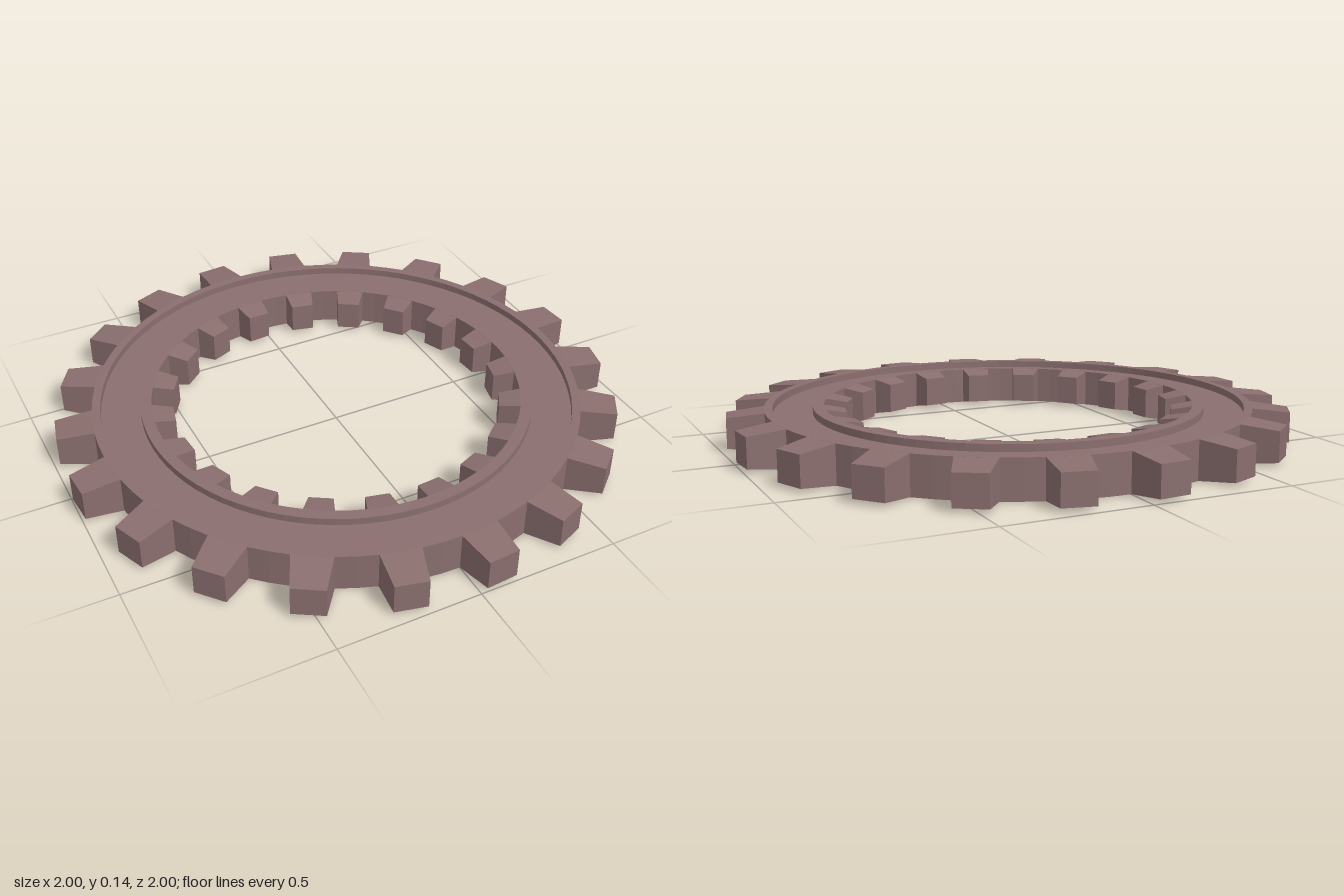
import * as THREE from 'three';

const TEETH = 20;
const STEP = (Math.PI * 2) / TEETH;
const HEIGHT = 0.135;

// Tooth tapering from a wide root to a narrower, thinner tip along z
function toothGeometry(rootZ, tipZ, rootHalf, tipHalf, tipInset) {
  const geo = new THREE.BoxGeometry(2, 2, 1);
  const pos = geo.attributes.position;
  const outward = tipZ > rootZ;
  for (let i = 0; i < pos.count; i++) {
    const isTip = (pos.getZ(i) > 0) === outward;
    const halfW = isTip ? tipHalf : rootHalf;
    const halfH = HEIGHT / 2 - (isTip ? tipInset : 0);
    pos.setXYZ(i, pos.getX(i) * halfW, HEIGHT / 2 + pos.getY(i) * halfH, isTip ? tipZ : rootZ);
  }
  geo.computeVertexNormals();
  return geo;
}

export function createModel() {
  const group = new THREE.Group();
  group.name = 'gearRing';
  const material = new THREE.MeshStandardMaterial({ color: 0x8a6e6e, flatShading: true });

  // Ring body: raised outer rim and inner lip with a shallow groove on both faces
  const groove = 0.025;
  const rim = 0.87, grooveOuter = 0.84, grooveInner = 0.7, bore = 0.66;
  const profile = [
    [rim, 0], [rim, HEIGHT],
    [grooveOuter, HEIGHT], [grooveOuter, HEIGHT - groove],
    [grooveInner, HEIGHT - groove], [grooveInner, HEIGHT],
    [bore, HEIGHT], [bore, 0],
    [grooveInner, 0], [grooveInner, groove],
    [grooveOuter, groove], [grooveOuter, 0],
    [rim, 0],
  ].map(([r, y]) => new THREE.Vector2(r, y));
  const body = new THREE.Mesh(new THREE.LatheGeometry(profile, TEETH * 4), material);
  body.name = 'ringBody';
  group.add(body);

  // Outer and inner teeth share the same angular positions
  const outerGeo = toothGeometry(0.867, 0.998, 0.068, 0.056, 0.014);
  const innerGeo = toothGeometry(0.661, 0.584, 0.052, 0.041, 0.014);
  for (const [name, geo] of [['outerTooth', outerGeo], ['innerTooth', innerGeo]]) {
    for (let i = 0; i < TEETH; i++) {
      const tooth = new THREE.Mesh(geo, material);
      tooth.name = `${name}${i + 1}`;
      tooth.rotation.y = STEP * (i + 0.25);
      group.add(tooth);
    }
  }
  return group;
}
